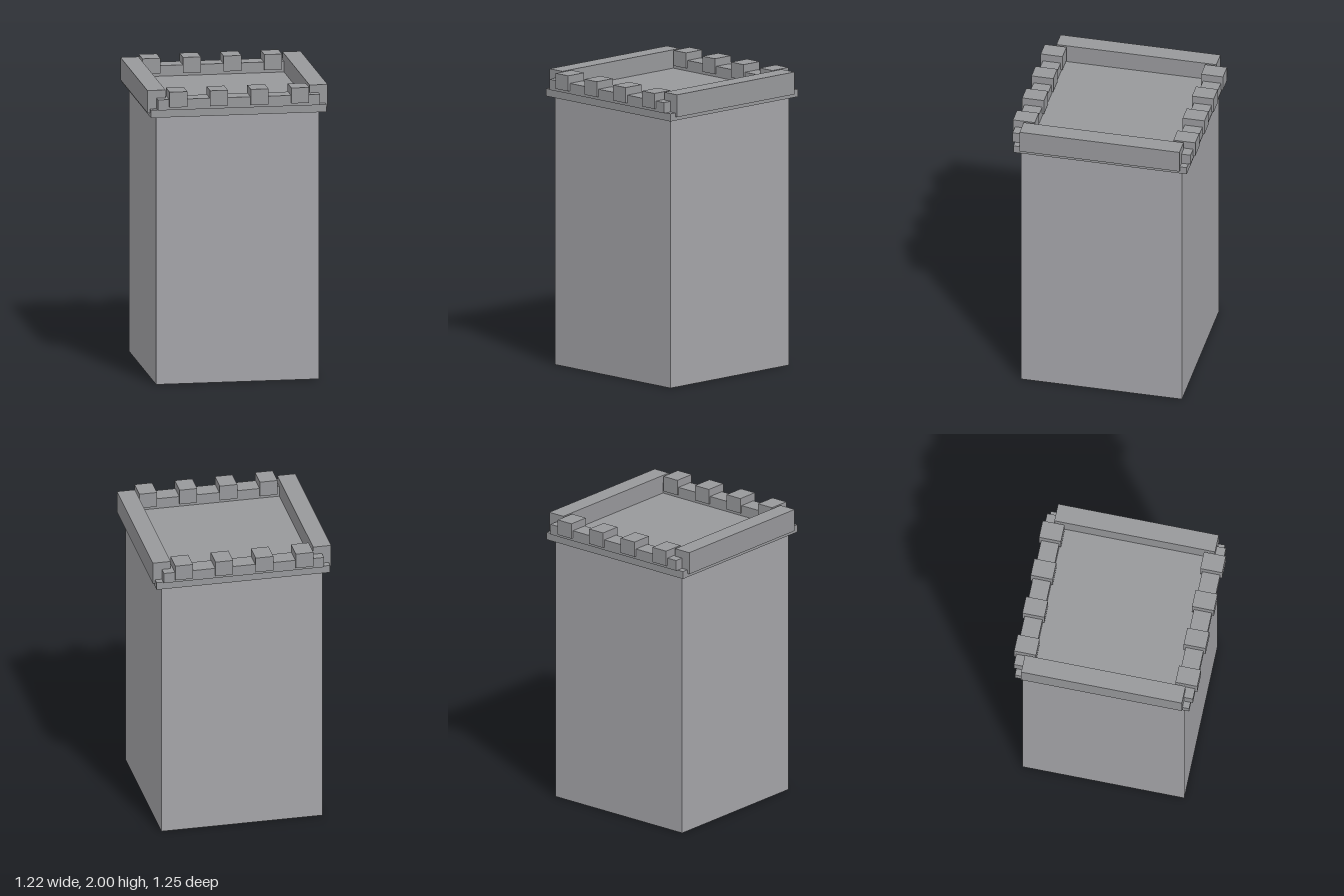
import * as THREE from 'three';

export function createModel() {
  const group = new THREE.Group();
  const shaftStone = new THREE.MeshStandardMaterial({ color: 0xa4a4a8, flatShading: true });
  const roofStone = new THREE.MeshStandardMaterial({ color: 0x97989b, flatShading: true });

  // Box given by its size, bottom/top heights and centre x/z
  function block(name, material, width, depth, bottom, top, x = 0, z = 0) {
    const mesh = new THREE.Mesh(new THREE.BoxGeometry(width, top - bottom, depth), material);
    mesh.name = name;
    mesh.position.set(x, (bottom + top) / 2, z);
    group.add(mesh);
  }

  // Square shaft and the darker overhanging roof slab
  block('towerShaft', shaftStone, 1.1, 1.1, 0, 1.84);
  block('roofSlab', roofStone, 1.184, 1.184, 1.823, 1.875);

  for (const side of [-1, 1]) {
    // Tall plain walls on the left and right
    block(side > 0 ? 'leftWall' : 'rightWall', roofStone, 0.122, 1.092, 1.848, 2, side * 0.547);

    // Low parapets at the front and back, each with four merlons
    const end = side > 0 ? 'front' : 'back';
    block(end + 'Parapet', roofStone, 1.092, 0.122, 1.875, 1.947, 0, side * 0.547);
    for (const x of [-0.411, -0.137, 0.137, 0.411]) {
      block(end + 'Merlon', roofStone, 0.12, 0.149, 1.895, 2, x, side * 0.548);
    }
  }

  return group;
}
